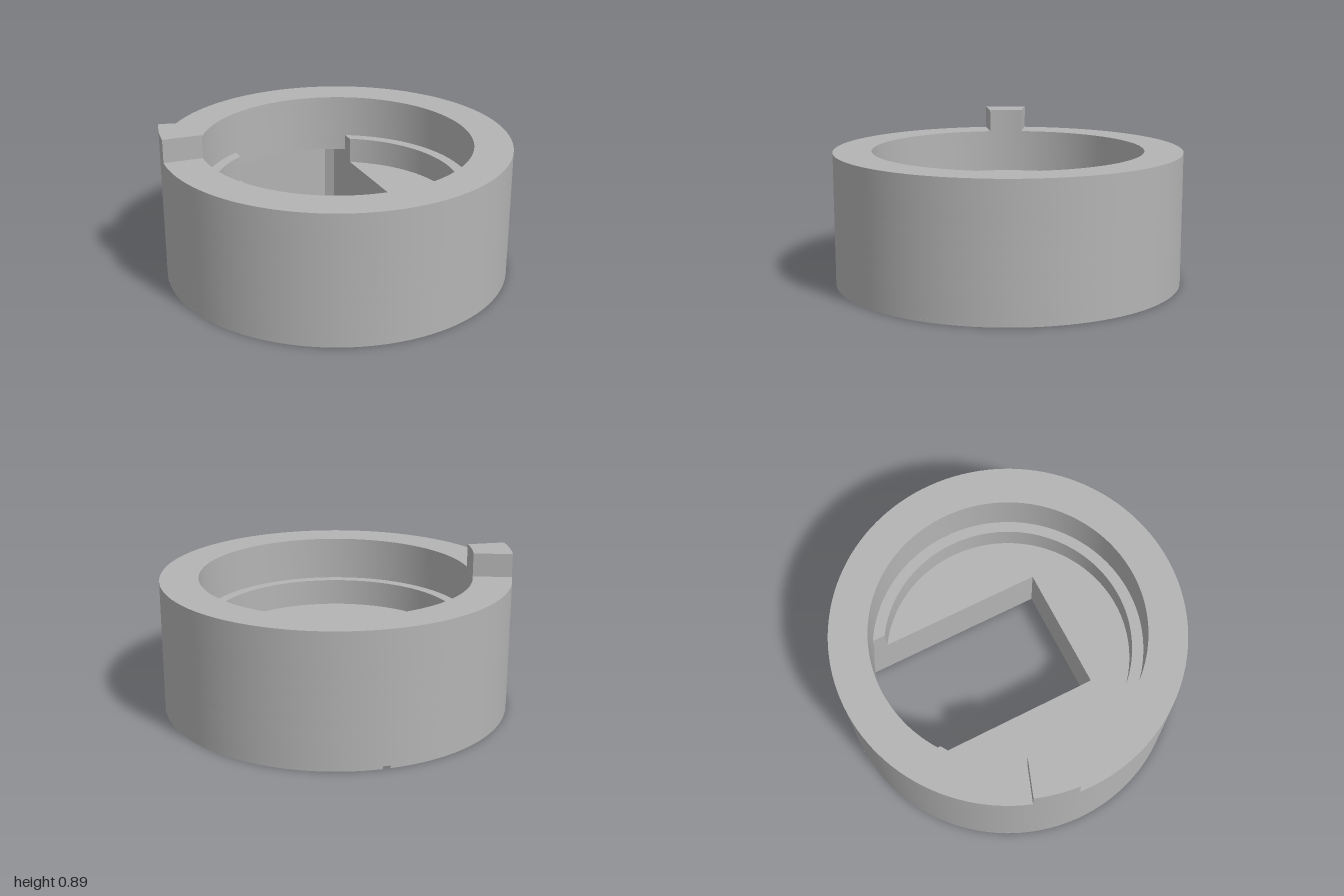
import * as THREE from 'three';
import { toCreasedNormals } from 'three/addons/utils/BufferGeometryUtils.js';

const BORE = 0.78, LEDGE = 0.715, HALF = 0.37;
const Y = { notch: 0.015, slot: 0.04, drill: 0.25, floor: 0.347, pocket: 0.41, ledge: 0.505, top: 0.76, tab: 0.895 };

// Plan outlines are drawn with x to the model's left and the second axis to its back.
function circle(r, x = 0, y = 0, Type = THREE.Path) {
  return new Type().absarc(x, y, r, 0, Math.PI * 2, false);
}

const disc = () => circle(1, 0, 0, THREE.Shape);

// Outer disc with a small index notch at the back
function notchedDisc() {
  const a = 0.02;
  const s = new THREE.Shape();
  s.absarc(0, 0, 1, Math.PI / 2 + a, Math.PI * 2.5 - a, false);
  s.lineTo(a, 0.91);
  s.lineTo(-a, 0.91);
  s.closePath();
  return s;
}

// Chamfered rear end shared by the window and the pocket
function rearCorners(p) {
  p.lineTo(HALF, 0.86);
  p.lineTo(HALF - 0.045, 0.905);
  p.lineTo(-HALF + 0.045, 0.905);
  p.lineTo(-HALF, 0.86);
  p.closePath();
  return p;
}

function windowHole() {
  const p = new THREE.Path();
  p.moveTo(-HALF, -0.355);
  p.lineTo(HALF, -0.355);
  return rearCorners(p);
}

// Round recess, opened at the back into the pocket
function pocketHole() {
  const a = Math.acos(HALF / LEDGE);
  const p = new THREE.Path();
  p.absarc(0, 0, LEDGE, Math.PI - a, Math.PI * 2 + a, false);
  return rearCorners(p);
}

// Round recess, opened at the back out to the bore
function ledgeHole() {
  const a = Math.acos(HALF / LEDGE), b = Math.acos(HALF / BORE);
  const p = new THREE.Path();
  p.absarc(0, 0, LEDGE, Math.PI - a, Math.PI * 2 + a, false);
  p.absarc(0, 0, BORE, b, Math.PI - b, false);
  p.closePath();
  return p;
}

// Oblong recess in the underside
function slotHole() {
  const x = 0.418, y = -0.627, r = 0.075, h = 0.083;
  const p = new THREE.Path();
  p.absarc(x, y + h, r, 0, Math.PI, false);
  p.absarc(x, y - h, r, Math.PI, Math.PI * 2, false);
  p.closePath();
  return p;
}

const drillHoles = () => [[0.71, 0], [-0.71, 0], [0, -0.715]].map(([x, y]) => circle(0.074, x, y));

export function createModel() {
  const grey = new THREE.MeshStandardMaterial({ color: 0xb4b4b4 });
  grey.name = 'grey';
  const group = new THREE.Group();
  group.name = 'roundHousing';

  // Extrudes a plan outline between two heights
  function layer(name, shape, holes, y0, y1) {
    shape.holes.push(...holes);
    const geo = new THREE.ExtrudeGeometry(shape, { depth: y1 - y0, bevelEnabled: false, curveSegments: 64 });
    geo.rotateX(-Math.PI / 2);
    geo.translate(0, y0, 0);
    const mesh = new THREE.Mesh(toCreasedNormals(geo, 0.5), grey);
    mesh.name = name;
    group.add(mesh);
  }

  // Base plate with window, blind holes and underside recess
  layer('baseNotched', notchedDisc(), [windowHole(), slotHole(), ...drillHoles()], 0, Y.notch);
  layer('baseSlotted', disc(), [windowHole(), slotHole(), ...drillHoles()], Y.notch, Y.slot);
  layer('baseDrilled', disc(), [windowHole(), ...drillHoles()], Y.slot, Y.drill);
  layer('baseFloor', disc(), [windowHole()], Y.drill, Y.floor);

  // Stepped wall
  layer('pocketWall', disc(), [pocketHole()], Y.floor, Y.pocket);
  layer('ledgeWall', disc(), [ledgeHole()], Y.pocket, Y.ledge);
  layer('boreWall', disc(), [circle(BORE)], Y.ledge, Y.top);

  // Locating tab on the rim
  const from = Math.PI - 0.339, to = Math.PI - 0.082;
  const tab = new THREE.Shape();
  tab.absarc(0, 0, 1, from, to, false);
  tab.absarc(0, 0, BORE, to, from, true);
  tab.closePath();
  layer('rimTab', tab, [], Y.top, Y.tab);

  return group;
}
